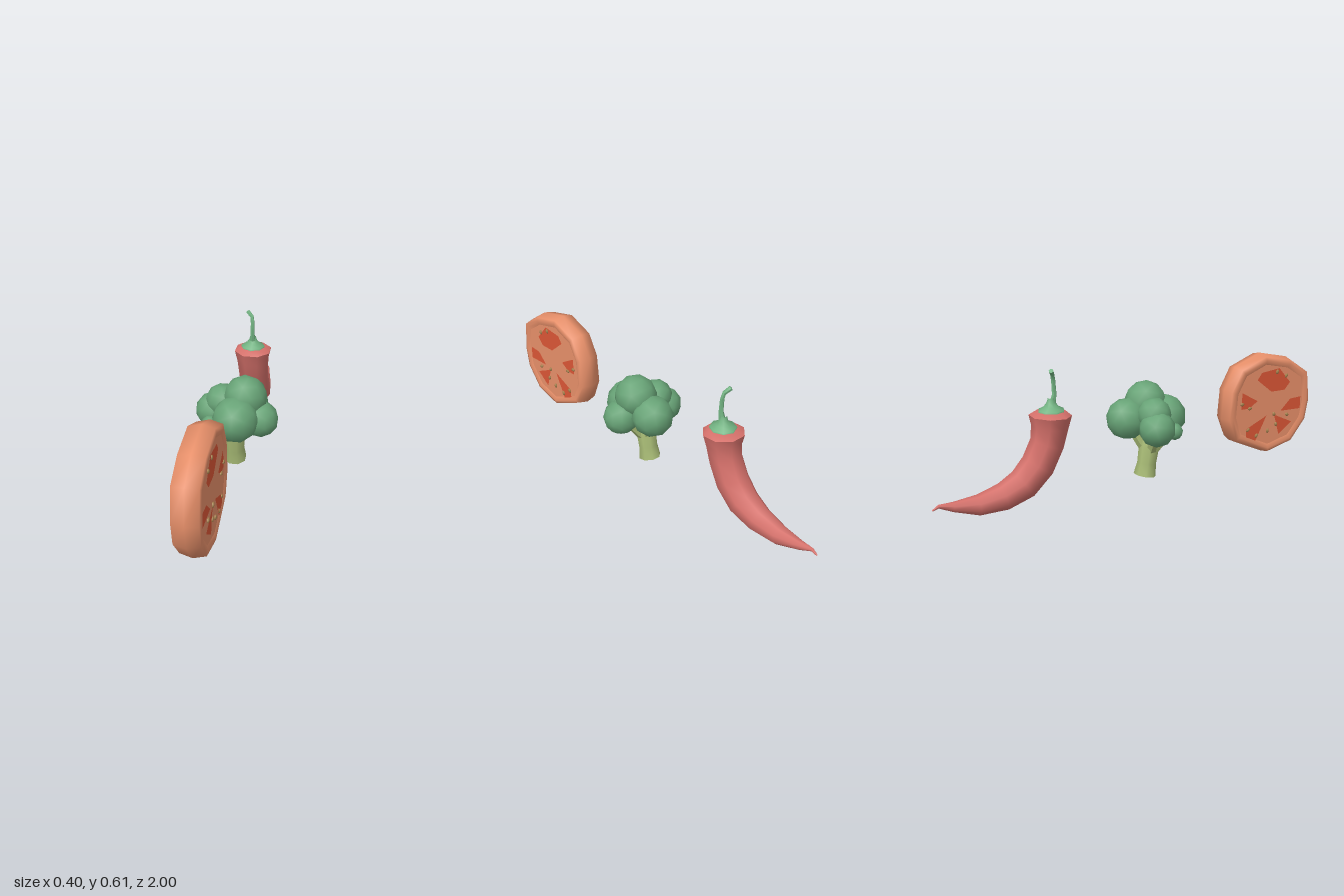
import * as THREE from 'three';
import { toCreasedNormals } from 'three/addons/utils/BufferGeometryUtils.js';

const V = (x, y, z) => new THREE.Vector3(x, y, z);
const mat = (color) => new THREE.MeshStandardMaterial({ color });
const MID = -0.015; // common x of the three pieces

const M = {
  skin: mat(0xe8906a), pulp: mat(0xdc5636), seed: mat(0xa88450),
  floret: mat(0x68a477), stalk: mat(0xa6b974), chili: mat(0xd4706a), calyx: mat(0x72b382),
};

function add(parent, name, geometry, material) {
  const mesh = new THREE.Mesh(geometry, material);
  mesh.name = name;
  parent.add(mesh);
  return mesh;
}

// Skin a list of equal-length rings, each counter-clockwise about the direction of travel
function loft(rings, crease) {
  const n = rings[0].length, index = [];
  for (let k = 0; k < rings.length - 1; k++) {
    for (let i = 0; i < n; i++) {
      const a = k * n + i, b = k * n + (i + 1) % n;
      index.push(a, b, a + n, b, b + n, a + n);
    }
  }
  const g = new THREE.BufferGeometry().setFromPoints(rings.flat());
  g.setIndex(index);
  g.computeVertexNormals();
  return toCreasedNormals(g, crease);
}

// Round section swept through points with a radius at each
function sweep(points, radii, sides, crease = 0.9) {
  const rings = points.map((p, k) => {
    const t = points[Math.min(k + 1, points.length - 1)].clone()
      .sub(points[Math.max(k - 1, 0)]).normalize();
    const e1 = V(1, 0, 0).addScaledVector(t, -t.x).normalize();
    const e2 = t.clone().cross(e1);
    return Array.from({ length: sides }, (_, i) => {
      const a = (i + 0.5) / sides * Math.PI * 2;
      return p.clone().addScaledVector(e1, radii[k] * Math.cos(a))
        .addScaledVector(e2, radii[k] * Math.sin(a));
    });
  });
  return loft(rings, crease);
}

function tomatoSlice() {
  const g = new THREE.Group();
  g.name = 'tomatoSlice';
  g.position.set(MID, 0.303, 0.735);
  // Outline as [u, v] with u = -z and v = y
  const outline = [[-0.265, 0], [-0.245, 0.155], [-0.13, 0.23], [0.04, 0.267], [0.19, 0.21], [0.25, 0.1],
    [0.262, -0.05], [0.215, -0.165], [0.005, -0.259], [-0.155, -0.22], [-0.245, -0.11]].reverse();
  const profile = [[-0.052, 0.8], [-0.06, 0.88], [-0.055, 0.95], [0, 1], [0.055, 0.95], [0.06, 0.88], [0.052, 0.8]];
  add(g, 'tomatoRim', loft(profile.map(([x, s]) => outline.map(([u, v]) => V(x, v * s, -u * s))), 1.2), M.skin);

  const wedges = [
    [[-0.123, 0.107], [-0.05, 0.187], [0.06, 0.175], [0.085, 0.14], [-0.005, 0.07], [-0.09, 0.07]],
    [[-0.198, 0.021], [-0.13, 0.017], [-0.07, -0.04], [-0.198, -0.043]],
    [[0.08, 0.032], [0.176, 0.085], [0.18, 0], [0.13, 0]],
    [[-0.144, -0.107], [-0.03, -0.055], [-0.065, -0.165]],
    [[0.02, -0.053], [0.144, -0.107], [0.144, -0.15], [0.085, -0.18]],
  ];
  const seeds = [[-0.096, 0.144], [-0.037, 0.17], [0.128, 0], [0.176, 0.027], [-0.112, -0.064],
    [-0.027, -0.05], [-0.043, -0.107], [0.01, -0.134], [0.08, -0.15], [0.134, -0.112]];

  // Both cut faces carry the same pulp pockets and seeds
  for (const side of [1, -1]) {
    const face = new THREE.Group();
    face.name = side > 0 ? 'leftCutFace' : 'rightCutFace';
    face.rotation.y = side * Math.PI / 2;
    face.position.x = side * 0.052;
    g.add(face);
    const flat = (pts, s = 1) => new THREE.ShapeGeometry(
      new THREE.Shape(pts.map(([u, v]) => new THREE.Vector2(side * u * s, v * s))));
    add(face, 'flesh', flat(outline, 0.8), M.skin);
    wedges.forEach((w) => { add(face, 'pulp', flat(w), M.pulp).position.z = 0.002; });
    seeds.forEach(([u, v]) => {
      const s = add(face, 'seed', new THREE.SphereGeometry(0.011, 6, 5), M.seed);
      s.position.set(side * u, v, 0.003);
      s.scale.set(0.85, 1.1, 0.6);
      s.rotation.z = Math.atan2(-side * u, v);
    });
  }
  return g;
}

function broccoli() {
  const g = new THREE.Group();
  g.name = 'broccoli';
  // Leaning stalk with a flat cut end
  add(g, 'stalk', sweep(
    [V(MID, 0.038, 0.03), V(MID, 0.04, 0.0305), V(MID, 0.1, 0.042), V(MID, 0.18, 0.055), V(MID, 0.23, 0.065)],
    [0.001, 0.054, 0.046, 0.05, 0.04], 8), M.stalk);
  // Florets: x, y, z, radius
  const florets = [
    [0.01, 0.312, 0.15, 0.107], [0.04, 0.388, 0.065, 0.1], [0.03, 0.32, -0.04, 0.098],
    [0.115, 0.292, 0.088, 0.083], [-0.115, 0.295, 0.04, 0.085], [-0.07, 0.352, 0.05, 0.08],
    [-0.113, 0.268, 0.135, 0.04],
  ];
  florets.forEach(([x, y, z, r], i) => {
    const f = add(g, 'floret', new THREE.IcosahedronGeometry(r * 1.02, 1), M.floret);
    f.position.set(x, y, z);
    f.rotation.set(i * 0.7, i * 1.3, 0);
    add(g, 'branch', sweep([V(MID + x * 0.1, 0.15, 0.052), V(x * 0.5 + MID * 0.5, 0.215, 0.03 + z * 0.5), V(x, y, z)],
      [0.03, 0.023, 0.025], 6), M.stalk);
  });
  return g;
}

function chiliPepper() {
  const g = new THREE.Group();
  g.name = 'chiliPepper';
  // Curved pod: y, z, radius from the shoulder to the hooked tip
  const pod = [[0.41, -0.45, 0.001], [0.425, -0.45, 0.07], [0.408, -0.45, 0.096], [0.355, -0.454, 0.083],
    [0.28, -0.47, 0.077], [0.185, -0.518, 0.077], [0.11, -0.59, 0.073], [0.068, -0.685, 0.062],
    [0.052, -0.8, 0.046], [0.066, -0.91, 0.022], [0.08, -0.972, 0.008], [0.066, -1.0, 0.003]];
  // The first ring sits in the hollow shoulder, so its direction is kept downward
  const pts = pod.map(([y, z]) => V(MID, y, z));
  pts[0].y = 0.43;
  add(g, 'pod', sweep(pts, pod.map((p) => p[2]), 8, 1.0), M.chili);
  // Flared cap
  const cap = [[0.062, 0], [0.06, 0.012], [0.035, 0.025], [0.02, 0.045], [0.014, 0.065]];
  add(g, 'calyx', new THREE.LatheGeometry(cap.map(([r, y]) => new THREE.Vector2(r, y)), 8), M.calyx)
    .position.set(MID, 0.42, -0.445);
  // Bent stem with a blunt end
  add(g, 'stem', sweep(
    [V(MID, 0.44, -0.443), V(MID, 0.5, -0.428), V(MID, 0.56, -0.431), V(-0.02, 0.592, -0.437),
      V(-0.044, 0.613, -0.452), V(-0.046, 0.615, -0.453)],
    [0.018, 0.011, 0.01, 0.01, 0.011, 0.001], 6), M.calyx);
  return g;
}

export function createModel() {
  const model = new THREE.Group();
  model.name = 'vegetables';
  model.add(tomatoSlice(), broccoli(), chiliPepper());
  return model;
}
